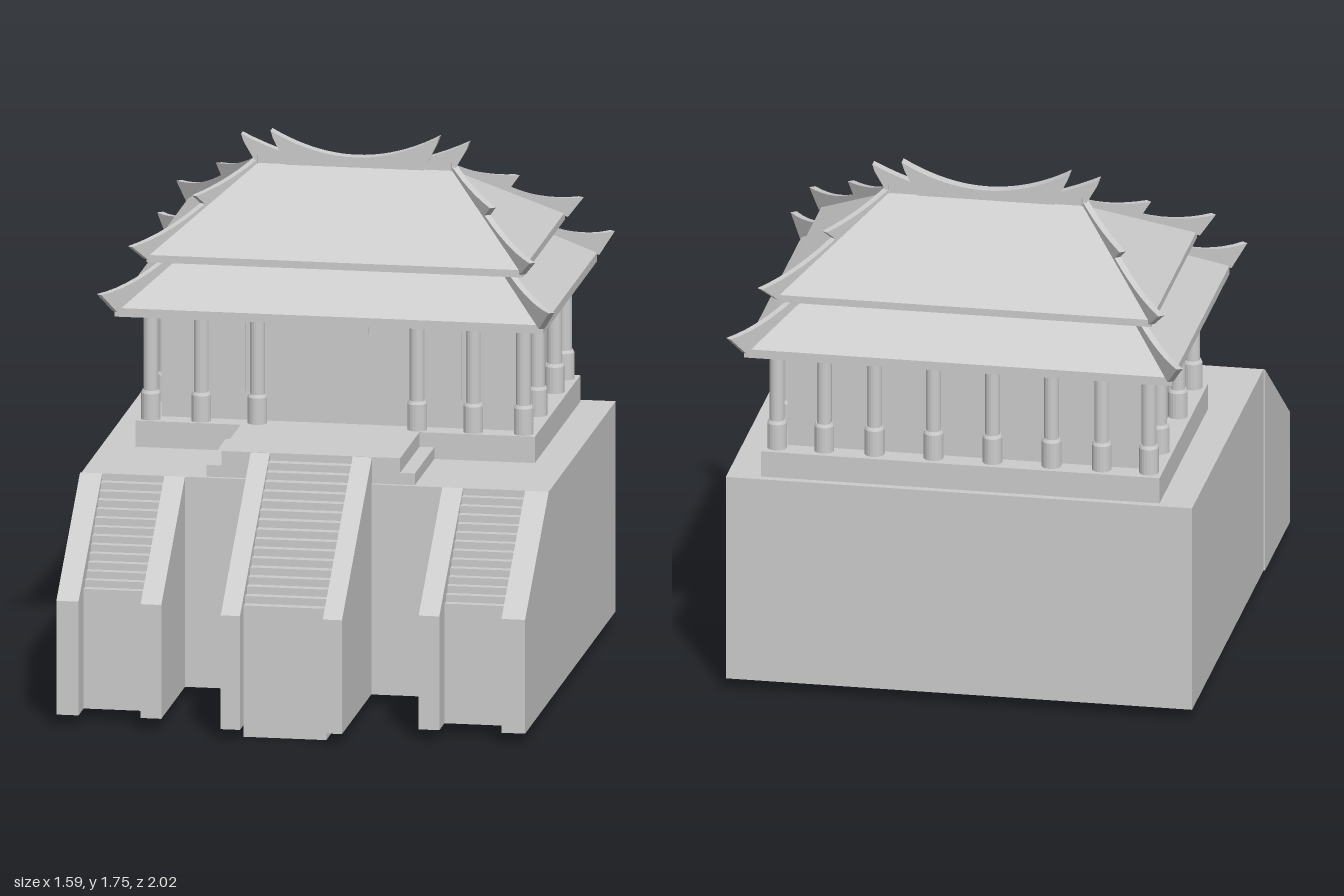
import * as THREE from 'three';

const mat = new THREE.MeshStandardMaterial({ color: 0xcccccc, side: THREE.DoubleSide });
const MID_Z = -0.417; // centre of the hall in depth

export function createModel() {
  const model = new THREE.Group();

  function add(name, geometry, parent = model) {
    const mesh = new THREE.Mesh(geometry, mat);
    mesh.name = name;
    parent.add(mesh);
    return mesh;
  }

  // Box given by its limits on each axis
  function box(name, x0, x1, y0, y1, z0, z1, parent) {
    const g = new THREE.BoxGeometry(x1 - x0, y1 - y0, z1 - z0);
    g.translate((x0 + x1) / 2, (y0 + y1) / 2, (z0 + z1) / 2);
    return add(name, g, parent);
  }

  // Side profile of [z, y] points extruded from x0 to x1, left open underneath
  function openPrism(name, profile, x0, x1) {
    const shape = new THREE.Shape(profile.map(([z, y]) => new THREE.Vector2(z, y)));
    let g = new THREE.ExtrudeGeometry(shape, { depth: x1 - x0, bevelEnabled: false });
    g.rotateY(-Math.PI / 2).translate(x1, 0, 0);
    if (g.index) g = g.toNonIndexed();
    const floor = Math.min(...profile.map((p) => p[1])) + 1e-4;
    const p = g.attributes.position;
    const kept = [];
    for (let i = 0; i < p.count; i += 3) {
      if ([0, 1, 2].every((k) => p.getY(i + k) < floor)) continue;
      for (let k = 0; k < 3; k++) kept.push(p.getX(i + k), p.getY(i + k), p.getZ(i + k));
    }
    const open = new THREE.BufferGeometry();
    open.setAttribute('position', new THREE.Float32BufferAttribute(kept, 3));
    open.computeVertexNormals();
    return add(name, open);
  }

  // Box whose top face shrinks to its own half width and half depth
  function hippedRoof(name, hw, hd, topHw, topHd, y0, y1, parent) {
    const g = new THREE.BoxGeometry(2, y1 - y0, 2);
    const p = g.attributes.position;
    for (let i = 0; i < p.count; i++) {
      const top = p.getY(i) > 0;
      p.setX(i, p.getX(i) * (top ? topHw : hw));
      p.setZ(i, p.getZ(i) * (top ? topHd : hd));
    }
    g.translate(0, (y0 + y1) / 2, 0);
    g.computeVertexNormals();
    return add(name, g, parent);
  }

  // Flight of steps between two sloping side walls
  function stairway(name, o) {
    const steps = [[o.zBack, o.yBottom], [o.zFront, o.yBottom]];
    const run = (o.zFront - o.zBack) / o.count;
    const rise = (o.yTop - o.yLow) / o.count;
    for (let i = 0; i < o.count; i++) {
      const z = o.zFront - i * run;
      steps.push([z, o.yLow + i * rise], [z - run, o.yLow + i * rise]);
    }
    openPrism(name + 'Steps', steps, o.x[1], o.x[2]);
    const wall = [[o.zBack, 0.04], [o.zWall, 0.04], [o.zWall, 0.43], [o.zBack, o.yTop]];
    openPrism(name + 'WallRight', wall, o.x[0], o.x[1]);
    openPrism(name + 'WallLeft', wall, o.x[2], o.x[3]);
  }

  // Podium and terrace
  openPrism('podium', [[-0.87, 0.04], [0.43, 0.04], [0.43, 0.76], [-0.87, 0.76]], -0.79, 0.79);
  box('terrace', -0.675, 0.675, 0.76, 0.85, -0.845, 0.04);
  box('forecourtStep', -0.37, 0.335, 0.76, 0.8, 0.04, 0.415);
  box('forecourt', -0.32, 0.285, 0.8, 0.85, 0.04, 0.415);

  // Three stairways
  const side = { zBack: 0.43, zFront: 0.79, zWall: 0.89, yTop: 0.76, yLow: 0.45, yBottom: 0.04, count: 13 };
  stairway('rightStair', { ...side, x: [-0.795, -0.72, -0.51, -0.44] });
  stairway('leftStair', { ...side, x: [0.43, 0.5, 0.71, 0.79] });
  stairway('centreStair', {
    zBack: 0.42, zFront: 0.93, zWall: 1, yTop: 0.85, yLow: 0.45, yBottom: 0, count: 16,
    x: [-0.22, -0.155, 0.125, 0.19],
  });

  // Hall walls, windows and name board
  box('hallWalls', -0.6, 0.6, 0.85, 1.23, -0.77, -0.035);
  for (const x of [-0.375, 0.355]) box('window', x - 0.06, x + 0.06, 0.95, 1.2, -0.04, -0.03);
  box('doorBoard', -0.145, 0.1, 1.16, 1.225, -0.04, -0.02);

  // Columns with thicker feet around the hall
  const profile = [[0, 0.85], [0.033, 0.85], [0.033, 0.94], [0.028, 0.95], [0.025, 0.95], [0.025, 1.23]];
  const columnGeometry = new THREE.LatheGeometry(profile.map(([r, y]) => new THREE.Vector2(r, y)), 20)
    .toNonIndexed();
  columnGeometry.computeVertexNormals();
  const spots = [];
  for (const s of [-1, 1]) {
    for (const x of [0.63, 0.46, 0.27]) spots.push([s * x, 0]);
    for (const z of [-0.27, -0.6]) spots.push([s * 0.63, z]);
    for (const x of [0.63, 0.47, 0.3, 0.1]) spots.push([s * x, -0.795]);
  }
  for (const [x, z] of spots) add('column', columnGeometry).position.set(x, 0, z);

  // Two-tier hipped roof
  const roof = new THREE.Group();
  roof.name = 'roof';
  roof.position.set(-0.01, 0, MID_Z);
  model.add(roof);
  box('lowerEave', -0.725, 0.725, 1.22, 1.25, -0.525, 0.525, roof);
  hippedRoof('lowerRoof', 0.725, 0.525, 0.55, 0.29, 1.25, 1.39, roof);
  box('upperEave', -0.635, 0.635, 1.385, 1.41, -0.42, 0.42, roof);
  hippedRoof('upperRoof', 0.635, 0.42, 0.33, 0.012, 1.41, 1.645, roof);

  // Sagging ridge: a long outer layer below and a shorter one above
  function ridge(name, half, tipY, sagY, baseY, depth) {
    const s = new THREE.Shape();
    s.moveTo(-half, tipY);
    s.quadraticCurveTo(-half * 0.5, sagY, 0, sagY);
    s.quadraticCurveTo(half * 0.5, sagY, half, tipY);
    s.lineTo(half - 0.008, tipY - 0.025);
    s.lineTo(half - 0.06, baseY);
    s.lineTo(-half + 0.06, baseY);
    s.lineTo(-half + 0.008, tipY - 0.025);
    const g = new THREE.ExtrudeGeometry(s, { depth, bevelEnabled: false, curveSegments: 10 });
    add(name, g.translate(0, 0, -depth / 2), roof);
  }
  ridge('lowerRidge', 0.385, 1.74, 1.645, 1.625, 0.034);
  ridge('upperRidge', 0.285, 1.755, 1.675, 1.625, 0.04);

  // Upturned crests on the hips: [start, start top, dip, tip, foot] as [x, y]
  const crests = [
    [[0.32, 1.62], [0.32, 1.67], [0.4, 1.6], [0.505, 1.575], [0.47, 1.525]],
    [[0.45, 1.53], [0.46, 1.56], [0.57, 1.465], [0.68, 1.45], [0.637, 1.395]],
    [[0.54, 1.38], [0.54, 1.42], [0.66, 1.31], [0.765, 1.31], [0.722, 1.24]],
  ];
  // Turns the flat crest so it runs along the hip in plan
  const alongHip = new THREE.Matrix4().makeBasis(
    new THREE.Vector3(1, 0, 1.364), new THREE.Vector3(0, 1, 0), new THREE.Vector3(-0.807, 0, 0.59));
  for (const [a, b, dip, tip, foot] of crests) {
    const s = new THREE.Shape();
    s.moveTo(...a);
    s.lineTo(...foot);
    s.lineTo(...tip);
    s.quadraticCurveTo(...dip, ...b);
    s.closePath();
    const g = new THREE.ExtrudeGeometry(s, { depth: 0.022, bevelEnabled: false, curveSegments: 8 });
    g.translate(-0.33, 0, -0.011).applyMatrix4(alongHip).translate(0.33, 0, 0);
    for (const sx of [-1, 1]) {
      for (const sz of [-1, 1]) add('hipCrest', g, roof).scale.set(sx, 1, sz);
    }
  }
  return model;
}
